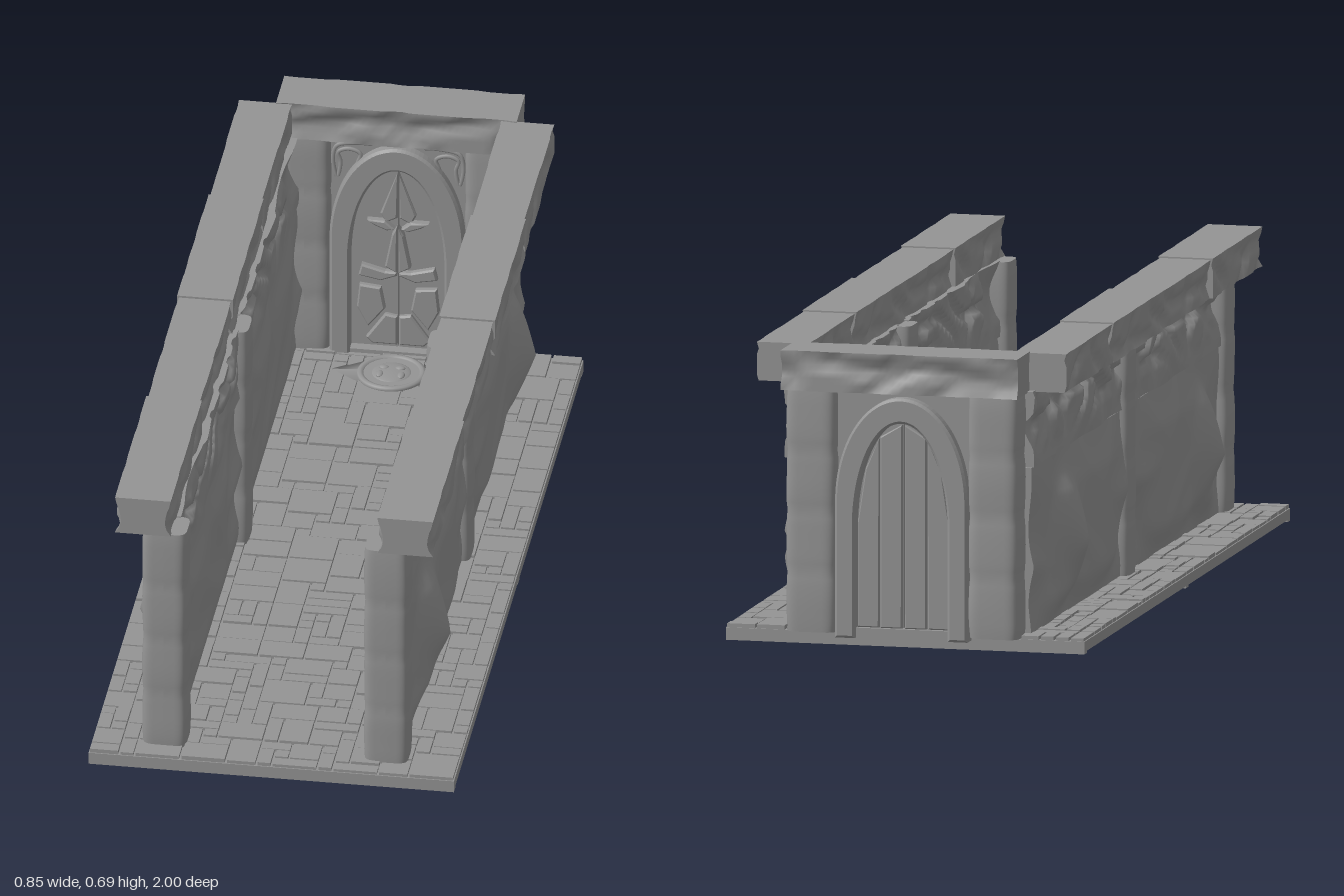
import * as THREE from 'three';
import { mergeGeometries } from 'three/addons/utils/BufferGeometryUtils.js';

const stone = new THREE.MeshStandardMaterial({ color: 0x949494 });

let seed = 7;
const rand = () => (seed = (seed * 16807) % 2147483647) / 2147483647;

// Lumpy stone surface, roughly -1..1
const lump = (a, b, c) =>
  0.5 * Math.sin(a * 31 + 2 * Math.sin(b * 23 + c)) +
  0.5 * Math.sin(b * 37 + c * 17 + 2 * Math.sin(a * 19));
const ridge = (a, b, c) => 1 - 2 * Math.abs(lump(a, b, c));
const hill = (z, y, z0, y0, sz, sy) => Math.exp(-(((z - z0) / sz) ** 2) - ((y - y0) / sy) ** 2);
const step = THREE.MathUtils.smoothstep;

function box(x0, x1, y0, y1, z0, z1, sx = 1, sy = 1, sz = 1) {
  return new THREE.BoxGeometry(x1 - x0, y1 - y0, z1 - z0, sx, sy, sz)
    .translate((x0 + x1) / 2, (y0 + y1) / 2, (z0 + z1) / 2);
}

// Moves every vertex by rule(v)
function warp(geo, rule) {
  const p = geo.attributes.position, v = new THREE.Vector3();
  for (let i = 0; i < p.count; i++) {
    rule(v.fromBufferAttribute(p, i));
    p.setXYZ(i, v.x, v.y, v.z);
  }
  geo.computeVertexNormals();
  return geo;
}

function add(parent, name, geo) {
  const m = new THREE.Mesh(geo, stone);
  m.name = name;
  parent.add(m);
}

// Rounded square pillar of four worn stones that swell between the joints
function pillar(w, d, x, z) {
  const round = c => Math.sign(c) * Math.pow(Math.abs(c), 0.42);
  return warp(new THREE.CylinderGeometry(1, 1, 0.565, 40, 32), v => {
    const swell = 0.955 + 0.045 * Math.sqrt(Math.abs(Math.sin(Math.PI * 4 * (v.y / 0.565 + 0.5))));
    const n = swell * (1 + 0.015 * lump(v.x * 0.05 + x, v.y, z));
    v.set(round(v.x) * n * w / 2 + x, v.y + 0.3145, round(v.z) * n * d / 2 + z);
  });
}

// Adds jambs and an elliptical head to a path, from right foot to left or back again
function archLine(path, w, y0, spring, top, back = false) {
  const s = back ? -1 : 1;
  path.lineTo(s * w, y0);
  path.lineTo(s * w, spring);
  path.absellipse(0, spring, w, top - spring, back ? Math.PI : 0, back ? 0 : Math.PI, back);
  path.lineTo(-s * w, y0);
}

function extrude(shape, z, depth, bevel = 0) {
  return new THREE.ExtrudeGeometry(shape, {
    depth, curveSegments: 24, bevelEnabled: bevel > 0,
    bevelSize: bevel, bevelThickness: bevel, bevelSegments: 1, bevelOffset: -bevel,
  }).translate(0, 0, z);
}

const poly = (pts, s) => new THREE.Shape(pts.map(([x, y]) => new THREE.Vector2(x * s, y)));

function makeFloor() {
  const floor = new THREE.Group();
  floor.name = 'floor';
  const X = 0.425, Z0 = -0.94, Z1 = 1;
  add(floor, 'floorSlab', box(-X, X, 0.025, 0.029, Z0, Z1));

  // Open lattice underneath
  const ribs = [], r = 0.012, cols = 8, rows = 18;
  for (let i = 0; i <= cols; i++) {
    const x = -X + r + (i / cols) * 2 * (X - r);
    ribs.push(box(x - r, x + r, 0.005, 0.027, Z0, Z1));
  }
  for (let i = 0; i <= rows; i++) {
    const z = Z0 + r + (i / rows) * (Z1 - Z0 - 2 * r);
    ribs.push(box(-X, X, i % 9 ? 0.006 : 0, 0.027, z - r, z + r));
  }
  add(floor, 'floorLattice', mergeGeometries(ribs));

  // Irregular paving, each stone covering a few cells
  const nx = 24, nz = 56, cx = (2 * X) / nx, cz = (Z1 - Z0) / nz;
  const used = new Set(), tiles = [];
  for (let j = 0; j < nz; j++) for (let i = 0; i < nx; i++) {
    if (used.has(j * nx + i)) continue;
    const wantW = 1 + Math.floor(rand() * 3), wantH = 1 + Math.floor(rand() * 2.6);
    let w = 1;
    while (w < wantW && i + w < nx && !used.has(j * nx + i + w)) w++;
    const h = Math.min(wantH, nz - j);
    for (let b = 0; b < h; b++) for (let a = 0; a < w; a++) used.add((j + b) * nx + i + a);
    const x = -X + i * cx, z = Z0 + j * cz, g = 0.0028;
    tiles.push(box(x + g, x + w * cx - g, 0.028, 0.035 + rand() * 0.004, z + g, z + h * cz - g));
  }
  add(floor, 'pavingStones', mergeGeometries(tiles));

  // Round carved plate set before the door
  const plate = new THREE.Group();
  plate.name = 'floorMedallion';
  plate.position.set(0, 0.037, -0.8);
  add(plate, 'medallionDisc', new THREE.CylinderGeometry(0.075, 0.08, 0.006, 32));
  add(plate, 'medallionRing', new THREE.TorusGeometry(0.072, 0.009, 8, 36).rotateX(Math.PI / 2).scale(1, 0.8, 1));
  add(plate, 'medallionHead', new THREE.SphereGeometry(0.048, 20, 12).scale(1, 0.2, 1));
  for (const s of [-1, 1]) {
    add(plate, 'medallionPoint', new THREE.ConeGeometry(0.05, 0.07, 4)
      .rotateZ(-s * Math.PI / 2).scale(1, 0.1, 1).translate(s * 0.105, 0, 0));
    add(plate, 'medallionEye', new THREE.SphereGeometry(0.012, 10, 8).scale(1, 0.4, 0.7).translate(s * 0.019, 0.008, -0.012));
    add(plate, 'medallionCheek', new THREE.SphereGeometry(0.015, 10, 8).scale(0.6, 0.35, 1).translate(s * 0.025, 0.006, 0.016));
  }
  floor.add(plate);
  return floor;
}

function makeSide(s) {
  const side = new THREE.Group();
  side.name = s > 0 ? 'leftWall' : 'rightWall';
  for (const z of [0.908, -0.025]) add(side, 'wallPillar', pillar(0.106, 0.09, s * 0.258, z));

  // Two bays, the second mirrored along the passage
  for (const [z0, z1] of [[0.01, 0.87], [-0.9, -0.06]]) {
    const lower = box(s * 0.262 - 0.027, s * 0.262 + 0.027, 0.03, 0.422, z0, z1, 1, 24, 52);
    add(side, 'lowerPanel', warp(lower, v => {
      const az = Math.abs(v.z), e = Math.min(1, (v.y - 0.03) * 14, (0.422 - v.y) * 12);
      const rough = ridge(az * 0.32, v.y * 0.45, 1);
      if (v.x * s > 0.262) {
        // plaster belly left standing after the edges wore away
        const r = Math.hypot((az - 0.36) / 0.34, (v.y - 0.28) / 0.25);
        const belly = 0.018 * (1 - step(r, 0.8, 1.1));
        const spur = 0.052 * Math.max(0, 1 - Math.hypot((az - 0.64) / 0.12, (v.y - 0.21) / 0.16));
        const foot = 0.02 * hill(az, v.y, 0.72, 0.08, 0.08, 0.05);
        v.x += s * (belly + spur + foot + 0.007 * rough) * e;
      } else v.x -= s * (0.012 * rough + 0.005) * e;
    }));
    const upper = box(s * 0.262 - 0.025, s * 0.262 + 0.025, 0.424, 0.6, z0, z1, 1, 14, 80);
    add(side, 'upperBand', warp(upper, v => {
      const out = v.x * s > 0.262 ? 1 : -1, az = Math.abs(v.z);
      const chip = Math.max(0, ridge(az * 0.8, v.y * 1.1, out));
      v.x += s * out * (0.008 - 0.024 * step(chip, 0.15, 0.6) * hill(0, v.y, 0, 0.535, 1, 0.055)
        + 0.005 * lump(az * 0.6, v.y, 4));
    }));
  }

  // Capping beams, end to end
  const cuts = [0.96, 0.49, 0.03, -0.44, -0.88];
  for (let i = 0; i < 4; i++) {
    const o = 0.003 * (i % 2);
    const beam = box(s * 0.305 - 0.065 + o, s * 0.305 + 0.065 - o, 0.597, 0.69 - o, cuts[i + 1] + 0.0015, cuts[i] - 0.0015, 2, 6, 32);
    add(side, 'cappingBeam', warp(beam, v => {
      const edge = hill(0, v.y, 0, 0.635, 1, 0.035), dx = v.x - s * 0.305;
      if (Math.abs(dx) > 0.05)
        v.x -= Math.sign(dx) * 0.015 * edge * step(ridge(v.z * 0.6, v.y * 1.2, i), -0.2, 0.5);
    }));
  }
  return side;
}

function makeGate() {
  const gate = new THREE.Group();
  gate.name = 'gateWall';
  const beam = box(-0.28, 0.28, 0.597, 0.69, -1, -0.872, 36, 6, 2);
  add(gate, 'lintelBeam', warp(beam, v => {
    const dz = v.z + 0.936;
    if (Math.abs(dz) > 0.05)
      v.z -= Math.sign(dz) * 0.015 * step(ridge(v.x * 0.6, v.y * 1.2, 3), -0.2, 0.5) * hill(0, v.y, 0, 0.643, 1, 0.04);
  }));

  // Filling wall around the opening
  const wall = poly([[-0.125, 0.03], [-0.2, 0.03], [-0.2, 0.6], [0.2, 0.6], [0.2, 0.03]], 1);
  wall.moveTo(-0.125, 0.03);
  wall.curves.length = 0;
  wall.lineTo(-0.2, 0.03).lineTo(-0.2, 0.6).lineTo(0.2, 0.6).lineTo(0.2, 0.03);
  archLine(wall, 0.125, 0.03, 0.3, 0.55);
  add(gate, 'gateFilling', extrude(wall, -0.95, 0.045));

  const frame = new THREE.Shape();
  frame.moveTo(-0.11, 0.022);
  archLine(frame, 0.11, 0.022, 0.28, 0.526, true);
  archLine(frame, 0.157, 0.022, 0.34, 0.585);
  add(gate, 'archFrame', extrude(frame, -0.975, 0.09, 0.006));
  add(gate, 'threshold', box(-0.112, 0.112, 0.02, 0.045, -0.965, -0.885));

  for (const s of [-1, 1]) {
    add(gate, 'gatePillar', pillar(0.122, 0.1, s * 0.216, -0.93));

    // Door leaf
    const leaf = new THREE.Shape();
    leaf.moveTo(s * 0.0015, 0.04);
    leaf.lineTo(s * 0.114, 0.04);
    leaf.lineTo(s * 0.114, 0.28);
    for (let i = 1; i < 16; i++) {
      const a = (i / 16) * Math.PI / 2;
      leaf.lineTo(s * 0.114 * Math.cos(a), 0.28 + 0.248 * Math.sin(a));
    }
    leaf.lineTo(s * 0.0015, 0.528);
    add(gate, 'doorLeaf', extrude(leaf, -0.945, 0.035));

    // Vertical planks on its back
    add(gate, 'innerPlank', extrude(poly([[0.003, 0.045], [0.055, 0.045], [0.055, 0.49], [0.003, 0.52]], s), -0.954, 0.012, 0.003));
    add(gate, 'outerPlank', extrude(poly([[0.058, 0.045], [0.109, 0.045], [0.109, 0.29], [0.09, 0.415], [0.058, 0.485]], s), -0.952, 0.01, 0.003));

    // Carved mask, one half on each leaf
    const relief = [
      ['maskCrown', [[0.002, 0.51], [0.042, 0.4], [0.03, 0.375], [0.002, 0.39]], 0.006],
      ['maskBrow', [[0.008, 0.365], [0.03, 0.385], [0.072, 0.385], [0.055, 0.372], [0.025, 0.36]], 0.016],
      ['maskNose', [[0.002, 0.37], [0.014, 0.35], [0.03, 0.265], [0.002, 0.25]], 0.018],
      ['maskCheek', [[0.03, 0.25], [0.085, 0.265], [0.092, 0.235], [0.04, 0.225], [0.002, 0.24], [0.002, 0.25]], 0.014],
      ['maskJaw', [[0.04, 0.205], [0.09, 0.21], [0.096, 0.15], [0.07, 0.1], [0.03, 0.15]], 0.012],
      ['maskChin', [[0.002, 0.13], [0.03, 0.135], [0.075, 0.07], [0.06, 0.055], [0.002, 0.055]], 0.01],
    ];
    for (const [name, pts, d] of relief) add(gate, name, extrude(poly(pts, s), -0.912, d, 0.004));

    // Curled drop ornament in the corner above the arch
    const curl = new THREE.CatmullRomCurve3([
      [0.06, 0.583], [0.1, 0.583], [0.143, 0.572], [0.152, 0.535], [0.142, 0.49],
      [0.134, 0.53], [0.14, 0.555], [0.115, 0.566], [0.088, 0.555], [0.095, 0.53],
    ].map(([x, y]) => new THREE.Vector3(s * x, y, -0.903)));
    add(gate, 'cornerScroll', new THREE.TubeGeometry(curl, 48, 0.005, 6));
  }
  return gate;
}

export function createModel() {
  const model = new THREE.Group();
  model.name = 'walledPassage';
  model.add(makeFloor(), makeSide(1), makeSide(-1), makeGate());
  return model;
}
